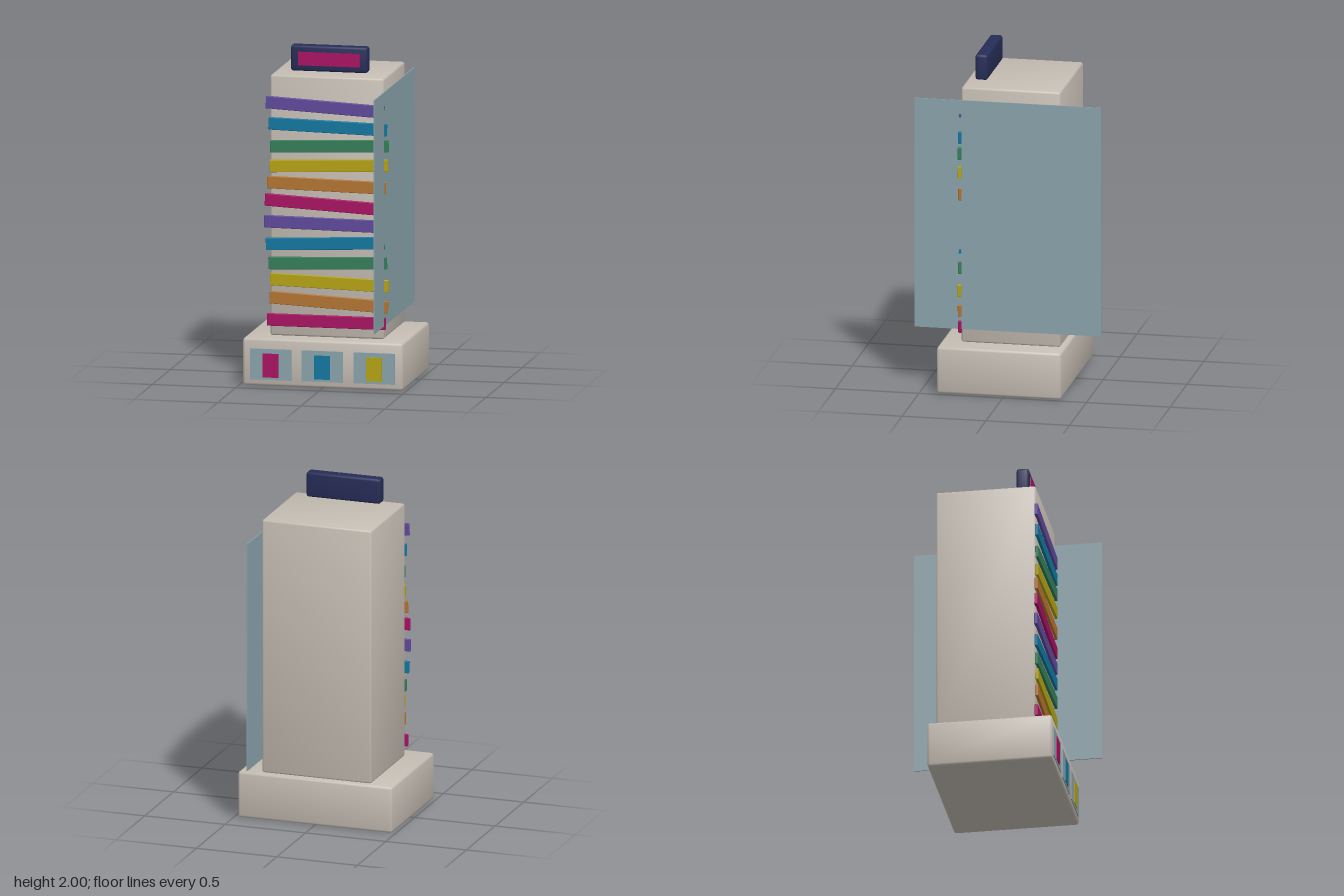
import * as THREE from 'three';

const COLORS = {
  stone: 0xc6beb4, navy: 0x262d58, glass: 0x8ba4ac,
  pink: 0xab1064, orange: 0xb67632, yellow: 0xb6a512,
  green: 0x34805a, teal: 0x1079a3, purple: 0x604a9e,
};

const materials = {};
for (const [key, color] of Object.entries(COLORS)) {
  materials[key] = new THREE.MeshStandardMaterial({ color });
}

// Box with bevelled edges; "soft" tilts the normals outwards for a gentle shading gradient
function bevelledBox(w, h, d, bevel, soft = 0) {
  const geo = new THREE.BoxGeometry(w, h, d, 3, 3, 3);
  const pos = geo.attributes.position;
  const inner = new THREE.Vector3(w / 2 - bevel, h / 2 - bevel, d / 2 - bevel);
  const p = new THREE.Vector3(), core = new THREE.Vector3(), n = new THREE.Vector3();
  for (let i = 0; i < pos.count; i++) {
    p.fromBufferAttribute(pos, i);
    const sign = new THREE.Vector3(Math.sign(p.x), Math.sign(p.y), Math.sign(p.z));
    core.copy(sign).multiply(inner);
    // Keep the outer layer of vertices outside the core, snap the others onto it
    n.set(
      Math.abs(p.x) > w / 2 - 1e-5 ? sign.x : 0,
      Math.abs(p.y) > h / 2 - 1e-5 ? sign.y : 0,
      Math.abs(p.z) > d / 2 - 1e-5 ? sign.z : 0
    ).normalize();
    p.copy(core).addScaledVector(n, bevel);
    pos.setXYZ(i, p.x, p.y, p.z);
    n.addScaledVector(sign, soft).normalize();
    geo.attributes.normal.setXYZ(i, n.x, n.y, n.z);
  }
  return geo;
}

function add(parent, name, geometry, color, x, y, z) {
  const mesh = new THREE.Mesh(geometry, materials[color]);
  mesh.name = name;
  mesh.position.set(x, y, z);
  parent.add(mesh);
  return mesh;
}

export function createModel() {
  const model = new THREE.Group();
  model.name = 'tower';

  // Podium and main block
  add(model, 'podium', bevelledBox(0.958, 0.28, 0.742, 0.015, 0.2), 'stone', -0.001, 0.14, 0.029);
  add(model, 'mainBlock', bevelledBox(0.68, 1.55, 0.592, 0.012, 0.2), 'stone', -0.001, 1.055, -0.016);

  // Shop windows with a coloured display in each
  const shops = new THREE.Group();
  shops.name = 'shopWindows';
  ['pink', 'teal', 'yellow'].forEach((color, i) => {
    const x = -0.002 + (i - 1) * 0.31;
    add(shops, 'shopWindow', new THREE.BoxGeometry(0.248, 0.184, 0.02), 'glass', x, 0.128, 0.395);
    add(shops, 'shopDisplay', new THREE.BoxGeometry(0.095, 0.142, 0.02), color, x, 0.122, 0.4);
  });
  model.add(shops);

  // Tilted coloured slats, swaying as they climb the front
  const slats = new THREE.Group();
  slats.name = 'facadeSlats';
  const palette = ['pink', 'orange', 'yellow', 'green', 'teal', 'purple'];
  const slatGeo = bevelledBox(0.71, 0.073, 0.02, 0.004);
  for (let i = 0; i < 12; i++) {
    const x = -0.002 + 0.018 * Math.sin(0.9 * i);
    const slat = add(slats, 'slat', slatGeo, palette[i % 6], x, 0.375 + 0.116 * i, 0.286);
    // Screen-right end drops when the sine is positive
    slat.rotation.z = -0.05 * Math.sin(1.3 * i);
  }
  model.add(slats);

  // Large thin glass side screen
  add(model, 'sideScreen', new THREE.BoxGeometry(0.006, 1.392, 1.115), 'glass', 0.342, 1.057, 0);

  // Rooftop sign board and its blank coloured face
  add(model, 'roofSign', bevelledBox(0.46, 0.152, 0.074, 0.014, 0.1), 'navy', -0.002, 1.924, 0.183);
  add(model, 'roofSignFace', new THREE.BoxGeometry(0.371, 0.08, 0.01), 'pink', -0.002, 1.923, 0.22);

  return model;
}
